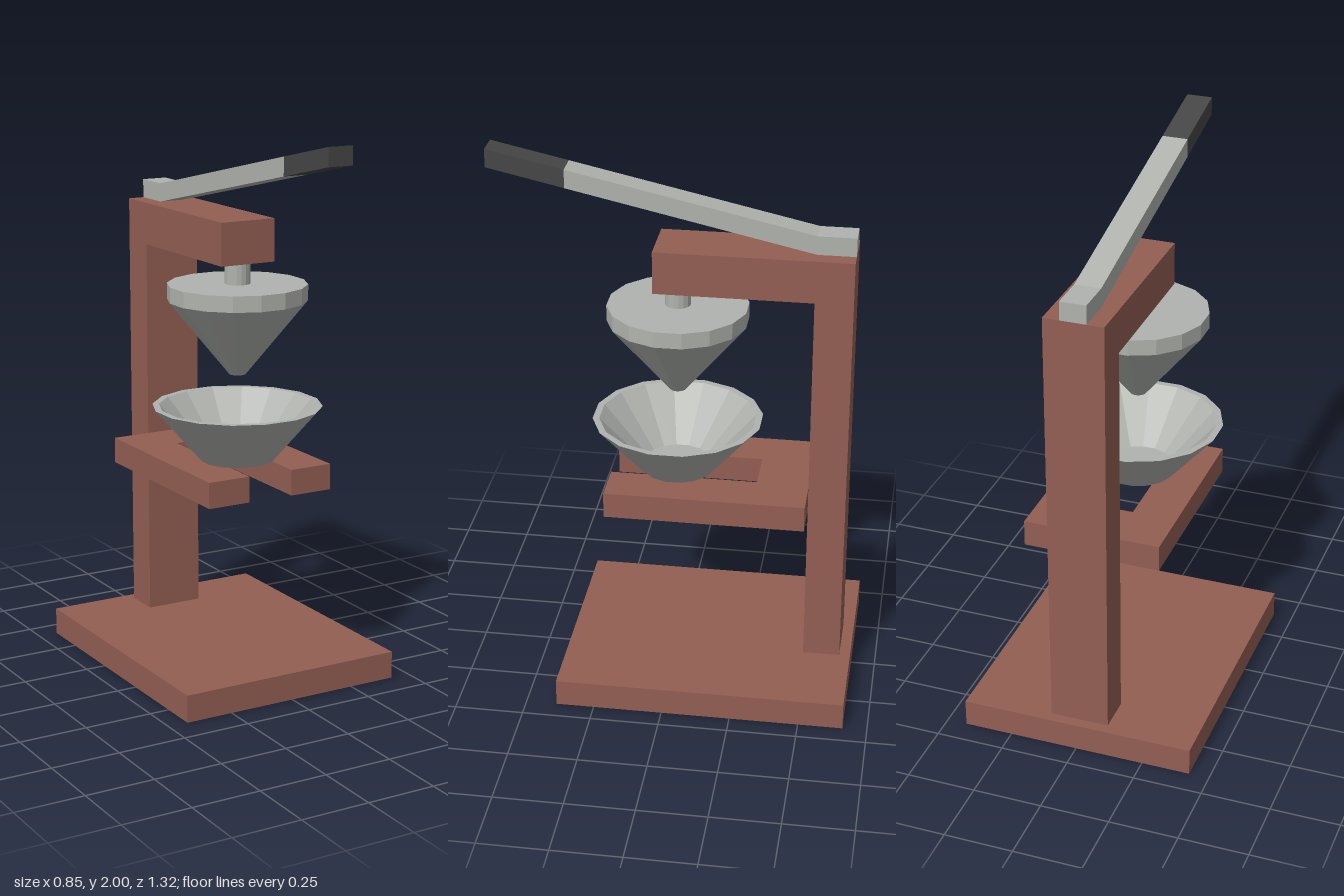
import * as THREE from 'three';

const wood = new THREE.MeshStandardMaterial({ color: 0x935f53 });
wood.name = 'red brown wood';
const metal = new THREE.MeshStandardMaterial({ color: 0xb0b3ae });
metal.name = 'grey metal';
const rubber = new THREE.MeshStandardMaterial({ color: 0x464646 });
rubber.name = 'dark grip';

function add(group, name, geometry, material) {
  const mesh = new THREE.Mesh(geometry, material);
  mesh.name = name;
  group.add(mesh);
  return mesh;
}

const shapeOf = (pts) => new THREE.Shape(pts.map(([a, b]) => new THREE.Vector2(a, b)));

// Side profile given as [z, y], extruded across x and centred
function sideProfile(pts, width) {
  return new THREE.ExtrudeGeometry(shapeOf(pts), { depth: width, bevelEnabled: false })
    .translate(0, 0, -width / 2)
    .rotateY(-Math.PI / 2);
}

// Plan profile given as [x, z], extruded upwards from y
function planProfile(pts, y, height) {
  return new THREE.ExtrudeGeometry(shapeOf(pts.map(([x, z]) => [x, -z])), { depth: height, bevelEnabled: false })
    .rotateX(-Math.PI / 2)
    .translate(0, y, 0);
}

// Faceted 16-sided turned part, with a flat facet facing the front
function turned(pts) {
  const g = new THREE.LatheGeometry(pts.map(([r, y]) => new THREE.Vector2(r, y)), 16, Math.PI / 16).toNonIndexed();
  g.computeVertexNormals();
  return g;
}

export function createModel() {
  const press = new THREE.Group();
  press.name = 'juicePress';

  // Wooden stand: base, column with overhanging arm, forked shelf
  add(press, 'base', new THREE.BoxGeometry(0.854, 0.1, 1.05), wood).position.set(0, 0.05, -0.137);
  add(press, 'columnAndArm', sideProfile([
    [-0.622, 0.1], [-0.487, 0.1], [-0.487, 1.525], [0.075, 1.525], [0.075, 1.68], [-0.622, 1.68],
  ], 0.215), wood);
  add(press, 'forkedShelf', planProfile([
    [-0.25, 0.233], [-0.087, 0.233], [-0.087, -0.3], [0.087, -0.3],
    [0.087, 0.233], [0.25, 0.233], [0.25, -0.487], [-0.25, -0.487],
  ], 0.705, 0.095), wood);

  // Hollow bowl resting on the fork
  add(press, 'bowl', turned([
    [0, 0.8], [0.135, 0.8], [0.308, 1], [0.284, 1], [0.12, 0.82], [0, 0.82],
  ]), metal);

  // Pressing cone with its stem under the arm
  add(press, 'pressCone', turned([
    [0, 1.115], [0.03, 1.115], [0.252, 1.387], [0.252, 1.445], [0, 1.445],
  ]), metal);
  add(press, 'stem', turned([
    [0, 1.44], [0.046, 1.44], [0.046, 1.525], [0, 1.525],
  ]), metal);

  // Bent lever and its grip
  add(press, 'lever', sideProfile([
    [-0.622, 1.68], [-0.487, 1.68], [0.387, 1.873], [0.387, 1.94], [-0.487, 1.748], [-0.622, 1.748],
  ], 0.094), metal);
  add(press, 'leverGrip', sideProfile([
    [0.387, 1.873], [0.662, 1.934], [0.662, 2], [0.387, 1.94],
  ], 0.094), rubber);

  return press;
}
